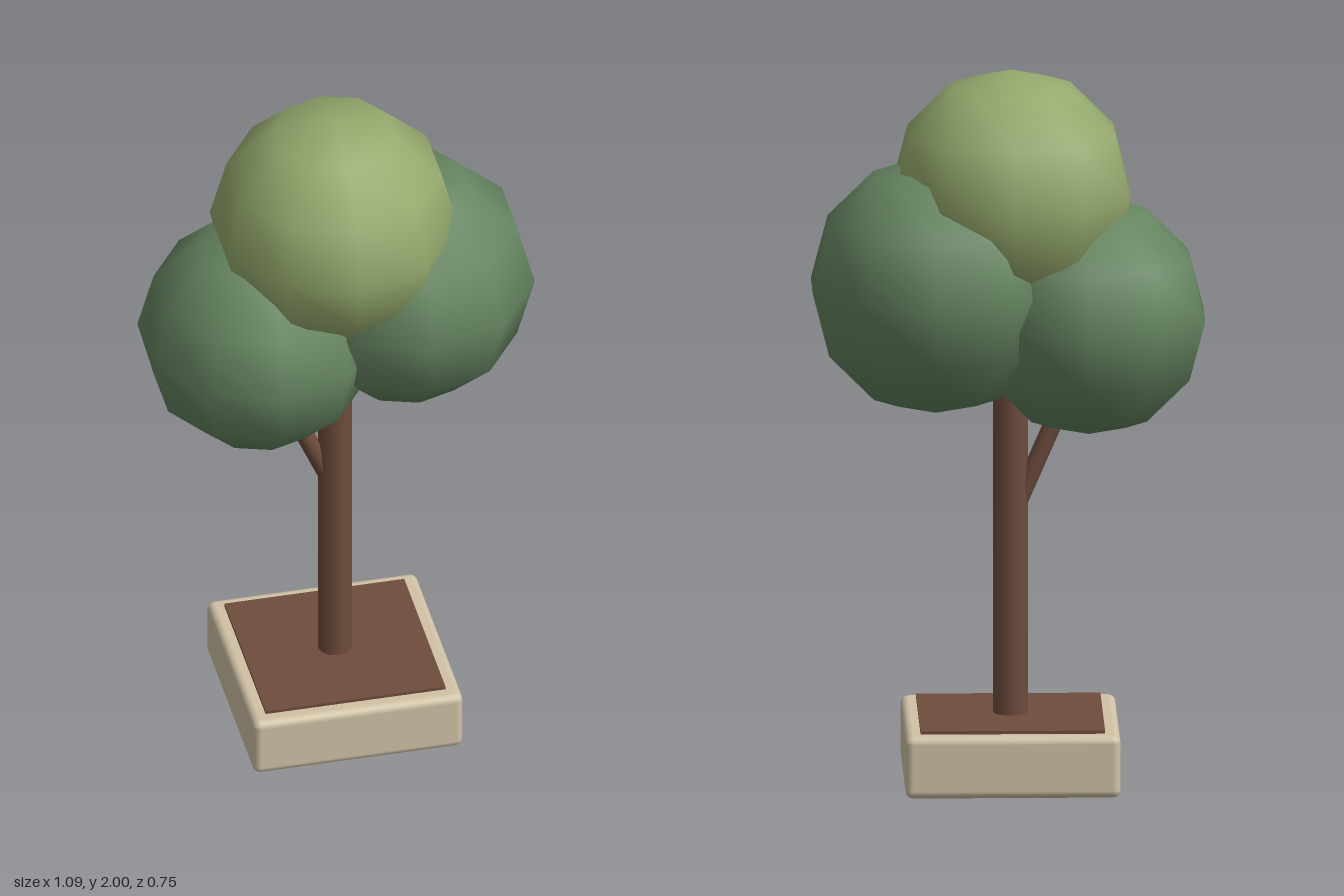
import * as THREE from 'three';
import { RoundedBoxGeometry } from 'three/addons/geometries/RoundedBoxGeometry.js';

const AXIS_X = -0.008, AXIS_Z = 0.027;

export function createModel() {
  const group = new THREE.Group();
  const paint = (color) => new THREE.MeshStandardMaterial({ color });
  const stone = paint(0xd0c2a5);
  const bark = paint(0x6e4c3c);
  const darkLeaf = paint(0x64845f);
  const lightLeaf = paint(0x94a86c);

  const add = (name, geometry, material, x, y, z) => {
    const mesh = new THREE.Mesh(geometry, material);
    mesh.name = name;
    mesh.position.set(x, y, z);
    group.add(mesh);
    return mesh;
  };

  // Square planter with softened edges, and the soil showing just above its rim
  add('planter', new RoundedBoxGeometry(0.595, 0.176, 0.595, 2, 0.022), stone, AXIS_X, 0.088, AXIS_Z);
  add('soil', new THREE.BoxGeometry(0.51, 0.03, 0.51), bark, AXIS_X, 0.17, AXIS_Z);

  // Straight trunk, reaching up inside the crown
  add('trunk', new THREE.CylinderGeometry(0.048, 0.048, 1.1, 12), bark, AXIS_X, 0.72, AXIS_Z);

  // Side branch leaning from the trunk into the left-hand foliage
  const from = new THREE.Vector3(-0.03, 0.78, AXIS_Z);
  const to = new THREE.Vector3(-0.195, 1.16, AXIS_Z);
  const mid = from.clone().lerp(to, 0.5);
  const branch = add('branch', new THREE.CylinderGeometry(0.026, 0.026, from.distanceTo(to), 10), bark, mid.x, mid.y, mid.z);
  branch.quaternion.setFromUnitVectors(new THREE.Vector3(0, 1, 0), to.clone().sub(from).normalize());

  // Three coarse, smooth-shaded foliage balls
  const foliage = (name, radius, material, x, y, z) =>
    add(name, new THREE.SphereGeometry(radius, 10, 6).rotateY(Math.PI / 2), material, x, y, z);
  foliage('foliageTop', 0.345, lightLeaf, -0.01, 1.655, 0.025);
  foliage('foliageRightSide', 0.336, darkLeaf, -0.224, 1.306, 0.023);
  foliage('foliageLeftSide', 0.36, darkLeaf, 0.2, 1.4, -0.015);

  return group;
}
